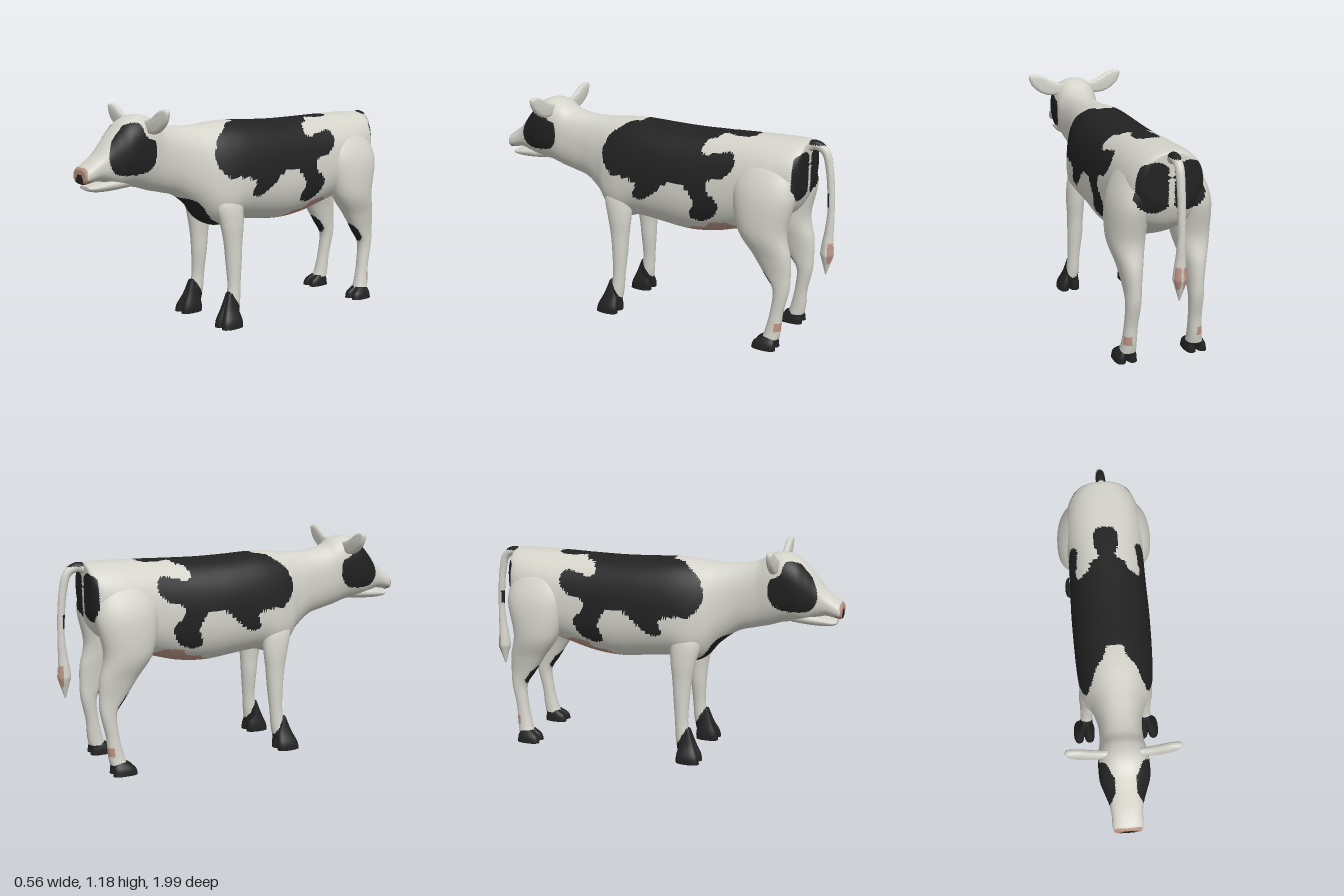
import * as THREE from 'three';
import { toCreasedNormals } from 'three/addons/utils/BufferGeometryUtils.js';

const mat = (name, color) => Object.assign(new THREE.MeshStandardMaterial({ color }), { name });
const WHITE = 0, BLACK = 1, PINK = 2;

// Catmull-Rom value between p1 and p2
const spline = (p0, p1, p2, p3, t) => 0.5 * (2 * p1 + (p2 - p0) * t
  + (2 * p0 - 5 * p1 + 4 * p2 - p3) * t * t + (3 * p1 - p0 - 3 * p2 + p3) * t * t * t);

// Skin through sections [x, y, z, sideRadius, plusRadius, minusRadius].
// The rings lie across axis 'z' (x-y rings) or 'y' (x-z rings); ends are capped.
function loft(sections, axis, { sub = 8, around = 32, n = 2 } = {}) {
  const rings = [];
  const last = sections.length - 1;
  const at = i => sections[Math.min(Math.max(i, 0), last)];
  for (let i = 0; i < last; i++) {
    for (let k = 0; k < sub; k++) {
      rings.push(at(i).map((_, d) => spline(at(i - 1)[d], at(i)[d], at(i + 1)[d], at(i + 2)[d], k / sub)));
    }
  }
  rings.push(at(last));
  const shrink = (r, f) => [r[0], r[1], r[2], r[3] * f, r[4] * f, r[5] * f];
  const first = rings[0];
  [0.85, 0.7, 0.55, 0.4, 0.25, 0.001].forEach(f => {
    rings.unshift(shrink(first, f));
    rings.push(shrink(at(last), f));
  });

  const pos = [], index = [];
  const power = v => Math.sign(v) * Math.abs(v) ** (2 / n);
  rings.forEach(([x, y, z, side, plus, minus], i) => {
    for (let j = 0; j < around; j++) {
      const a = (j / around) * Math.PI * 2;
      const u = side * power(Math.cos(a)), s = power(Math.sin(a));
      const v = s * (s > 0 ? plus : minus);
      pos.push(x + u, axis === 'z' ? y + v : y, axis === 'z' ? z : z + v);
      if (i === 0) continue;
      const j2 = (j + 1) % around, p = (i - 1) * around, q = i * around;
      index.push(p + j, p + j2, q + j, p + j2, q + j2, q + j);
    }
  });
  // Turn the faces outward whatever direction the sections run
  const along = axis === 'z' ? 2 : 1;
  const rising = sections[last][along] > sections[0][along];
  if (rising !== (axis === 'z')) {
    for (let i = 0; i < index.length; i += 3) [index[i], index[i + 1]] = [index[i + 1], index[i]];
  }
  const g = new THREE.BufferGeometry();
  g.setAttribute('position', new THREE.Float32BufferAttribute(pos, 3));
  g.setIndex(index);
  g.computeVertexNormals();
  return g;
}

// Sort the faces into material groups by a rule on each face centre
function paint(g, rule) {
  const p = g.attributes.position, idx = g.index.array, lists = [[], [], []];
  for (let i = 0; i < idx.length; i += 3) {
    const t = [idx[i], idx[i + 1], idx[i + 2]];
    const mean = c => t.reduce((s, v) => s + p.getComponent(v, c), 0) / 3;
    lists[rule(mean(0), mean(1), mean(2))].push(...t);
  }
  g.setIndex(lists.flat());
  let start = 0;
  lists.forEach((l, m) => { if (l.length) g.addGroup(start, l.length, m); start += l.length; });
  return g;
}

function inside(poly, a, b) {
  let hit = false;
  for (let i = 0, j = poly.length - 1; i < poly.length; j = i++) {
    const [ax, ay] = poly[i], [bx, by] = poly[j];
    if ((ay > b) !== (by > b) && a < (bx - ax) * (b - ay) / (by - ay) + ax) hit = !hit;
  }
  return hit;
}
const smooth = pts => new THREE.CatmullRomCurve3(pts.map(([a, b]) => new THREE.Vector3(a, b, 0)), true)
  .getPoints(pts.length * 5).map(v => [v.x, v.y]);

// Patch outlines: side ones in (z, y), the back one in (|x|, z)
const flankPatch = smooth([[0.28, 0.98], [0.24, 1.05], [0.2, 1.2], [-0.56, 1.2], [-0.57, 1.06], [-0.33, 1.045],
  [-0.35, 0.99], [-0.49, 1.0], [-0.505, 0.93], [-0.44, 0.87], [-0.365, 0.845], [-0.375, 0.79], [-0.425, 0.74],
  [-0.4, 0.66], [-0.32, 0.62], [-0.26, 0.635], [-0.285, 0.725], [-0.22, 0.81], [-0.13, 0.8], [-0.03, 0.715],
  [0.03, 0.685], [0.075, 0.7], [0.06, 0.77], [0.14, 0.795], [0.22, 0.8], [0.285, 0.87]]);
const backPatch = [[-0.1, 0.1], [0.04, 0.1], [0.06, 0.16], [0.1, 0.2], [0.13, 0.27], [0.17, 0.29], [0.4, 0.3],
  [0.4, -0.52], [0.18, -0.51], [0.145, -0.48], [0.14, -0.43], [0.17, -0.36], [0.16, -0.31], [0.13, -0.32],
  [0.1, -0.37], [0.04, -0.4], [0.06, -0.46], [0.065, -0.53], [0.04, -0.565], [-0.1, -0.57]];
const eyePatch = smooth([[0.875, 0.93], [0.84, 1.03], [0.78, 1.095], [0.71, 1.105], [0.685, 1.04], [0.635, 1.015],
  [0.632, 0.91], [0.67, 0.865], [0.76, 0.85], [0.845, 0.865]]);
const udderPatch = [[-0.08, 0.45], [-0.1, 0.533], [-0.2, 0.53], [-0.25, 0.565], [-0.33, 0.575], [-0.36, 0.61],
  [-0.45, 0.625], [-0.5, 0.605], [-0.57, 0.6], [-0.57, 0.45]];
const hockPatch = [[-0.55, 0.5], [-0.63, 0.47], [-0.7, 0.41], [-0.735, 0.36], [-0.73, 0.3], [-0.6, 0.3]];
const onRump = (x, y, z) => z < -0.812 && Math.abs(x) > 0.015
  && ((Math.abs(x) - 0.085) / 0.105) ** 2 + ((y - 0.91) / 0.125) ** 2 < 1;

function coat(x, y, z) {
  const ax = Math.abs(x);
  if (z > 0.6) {
    if (z > 0.97 && ax < 0.038 - Math.max(0, y - 0.84) * 0.8 && y < 0.865) return BLACK;
    if (z > 0.965 && (ax / 0.07) ** 3 + (Math.abs(y - 0.855) / 0.045) ** 3 < 1) return PINK;
    return ax > 0.052 && inside(eyePatch, z, y) ? BLACK : WHITE;
  }
  if (z > 0.23 && y < 0.7 && (ax / 0.097) ** 4 + ((y - 0.59) / 0.105) ** 4 < 1) return BLACK;
  if (onRump(x, y, z)) return BLACK;
  if (inside(udderPatch, z, y)) return PINK;
  return inside(flankPatch, z, y) && (y < 0.95 || inside(backPatch, ax, z)) ? BLACK : WHITE;
}

export function createModel() {
  const model = new THREE.Group();
  const mats = [mat('white hide', 0xd4d3ca), mat('black hide', 0x222222), mat('pink skin', 0xbb9484)];
  const add = (name, geometry, material = mats) => {
    const m = new THREE.Mesh(geometry, material);
    m.name = name;
    model.add(m);
  };

  // Trunk, neck and head in one skin: [z, top, bottom, half width, height share of the widest point]
  const trunk = [[-0.842, 1.06, 0.86, 0.1], [-0.835, 1.078, 0.8, 0.145], [-0.79, 1.082, 0.71, 0.185],
    [-0.7, 1.082, 0.65, 0.205], [-0.6, 1.08, 0.6, 0.21], [-0.5, 1.078, 0.57, 0.206], [-0.35, 1.074, 0.53, 0.206],
    [-0.2, 1.072, 0.516, 0.209], [-0.05, 1.076, 0.53, 0.207], [0.1, 1.083, 0.545, 0.202, 0.42],
    [0.2, 1.08, 0.522, 0.194, 0.38], [0.28, 1.072, 0.55, 0.172, 0.38], [0.35, 1.068, 0.63, 0.138, 0.42],
    [0.45, 1.07, 0.705, 0.112], [0.55, 1.09, 0.735, 0.11, 0.52], [0.62, 1.13, 0.752, 0.12, 0.58],
    [0.69, 1.142, 0.775, 0.126, 0.6], [0.76, 1.118, 0.785, 0.124, 0.58], [0.81, 1.075, 0.79, 0.107, 0.55],
    [0.86, 1.02, 0.81, 0.088], [0.91, 0.96, 0.826, 0.078], [0.96, 0.92, 0.82, 0.077], [0.985, 0.904, 0.815, 0.074],
    [0.998, 0.89, 0.82, 0.062]];
  add('body and head', paint(loft(trunk.map(([z, top, bottom, w, share = 0.48]) => {
    const mid = bottom + (top - bottom) * share;
    return [0, mid, z, w, top - mid, mid - bottom];
  }), 'z', { sub: 12, around: 96, n: 2.3 }), coat));

  // Lower jaw, slightly open
  add('lower jaw', loft([[0, 0.81, 0.74, 0.06, 0.03, 0.03], [0, 0.808, 0.82, 0.073, 0.03, 0.034],
    [0, 0.802, 0.9, 0.068, 0.02, 0.031], [0, 0.797, 0.95, 0.062, 0.013, 0.02],
    [0, 0.797, 0.972, 0.047, 0.008, 0.011]], 'z', { n: 2.2 }), mats[WHITE]);

  // Ear outline
  const ear = new THREE.SplineCurve([[0.07, 1.115], [0.13, 1.13], [0.215, 1.174], [0.278, 1.174], [0.266, 1.12],
    [0.225, 1.08], [0.165, 1.054], [0.09, 1.06], [0.07, 1.115]].map(p => new THREE.Vector2(...p)));

  const row = ([x, y, z, rx, rz]) => [x, y, z, rx, rz, rz];
  const foreLeg = [[0.12, 0.74, 0.2, 0.03, 0.08], [0.14, 0.65, 0.197, 0.05, 0.085], [0.153, 0.55, 0.187, 0.049, 0.07],
    [0.157, 0.45, 0.183, 0.044, 0.054], [0.16, 0.35, 0.182, 0.042, 0.045], [0.168, 0.22, 0.185, 0.034, 0.036],
    [0.172, 0.13, 0.195, 0.036, 0.04], [0.178, 0.06, 0.205, 0.036, 0.038]].map(row);
  const hindLeg = [[0.09, 1.03, -0.66, 0.04, 0.12], [0.122, 0.94, -0.66, 0.08, 0.15], [0.156, 0.81, -0.665, 0.097, 0.165],
    [0.168, 0.63, -0.666, 0.091, 0.13], [0.166, 0.5, -0.722, 0.06, 0.1], [0.164, 0.4, -0.757, 0.043, 0.07],
    [0.165, 0.32, -0.78, 0.038, 0.043], [0.17, 0.2, -0.764, 0.034, 0.034], [0.175, 0.1, -0.75, 0.037, 0.041],
    [0.18, 0.04, -0.735, 0.044, 0.045]].map(row);
  const foreRule = (x, y, z) => (y < 0.13 + (z - 0.19) * 1.7 ? BLACK : WHITE);
  const hindRule = (x, y, z) => {
    if (y < 0.055 || onRump(x, y, z) || inside(hockPatch, z, y)) return BLACK;
    return z < -0.765 && y > 0.1 && y < 0.145 && Math.abs(x) > 0.172 ? PINK : WHITE;
  };

  for (const s of [1, -1]) {
    const word = s > 0 ? 'left' : 'right';
    const flip = rows => rows.map(([x, ...rest]) => [x * s, ...rest]);
    const outline = new THREE.Shape(ear.getPoints(32).map(p => new THREE.Vector2(p.x * s, p.y)));
    const earGeo = new THREE.ExtrudeGeometry(outline, {
      depth: 0.006, bevelSize: 0.018, bevelOffset: -0.018, bevelThickness: 0.014, bevelSegments: 4 });
    earGeo.translate(0, 0, 0.658);
    add(`${word} ear`, toCreasedNormals(earGeo, 0.9), mats[WHITE]);

    const legs = { sub: 12, around: 48 };
    add(`${word} front leg`, paint(loft(flip(foreLeg), 'y', legs), foreRule));
    add(`${word} hind leg`, paint(loft(flip(hindLeg), 'y', { ...legs, n: 2.2 }), hindRule));

    // Cloven hooves, two toes on each foot
    for (const t of [-1, 1]) {
      add(`${word} front hoof toe`, loft(flip([[0.176 + t * 0.006, 0.18, 0.222, 0.014, 0.014],
        [0.18 + t * 0.017, 0.1, 0.225, 0.022, 0.04], [0.188 + t * 0.029, 0.04, 0.232, 0.03, 0.06],
        [0.191 + t * 0.031, 0, 0.236, 0.031, 0.064]].map(row)), 'y', { n: 2.4 }), mats[BLACK]);
      add(`${word} hind hoof toe`, loft(flip([[0.18 + t * 0.015, 0.065, -0.733, 0.023, 0.035],
        [0.186 + t * 0.026, 0.035, -0.718, 0.027, 0.058],
        [0.188 + t * 0.029, 0, -0.715, 0.029, 0.065]].map(row)), 'y', { n: 2.4 }), mats[BLACK]);
    }
  }

  // Tail: a tube whose radius swells into a tuft
  const path = new THREE.CatmullRomCurve3([[1.04, -0.81], [1.058, -0.87], [1.03, -0.92], [0.94, -0.947],
    [0.72, -0.965], [0.55, -0.957], [0.46, -0.957], [0.385, -0.955]].map(([y, z]) => new THREE.Vector3(0, y, z)));
  const radii = [0.03, 0.022, 0.02, 0.019, 0.018, 0.024, 0.036, 0.003];
  const seg = 90, sides = 20;
  const tail = new THREE.TubeGeometry(path, seg, 1, sides, false);
  const p = tail.attributes.position, v = new THREE.Vector3();
  for (let i = 0; i <= seg; i++) {
    const c = path.getPointAt(i / seg), f = (i / seg) * 7, k = Math.min(Math.floor(f), 6);
    const r = THREE.MathUtils.lerp(radii[k], radii[k + 1], f - k);
    for (let j = 0; j <= sides; j++) {
      const n = i * (sides + 1) + j;
      v.fromBufferAttribute(p, n).sub(c).multiplyScalar(r).add(c);
      p.setXYZ(n, v.x, v.y, v.z);
    }
  }
  tail.computeVertexNormals();
  add('tail', paint(tail, (x, y, z) => {
    if ((y > 1.062 && z < -0.84) || (y > 0.75 && y < 0.82 && z > -0.957)) return BLACK;
    return z < -0.965 && Math.abs(x) > 0.006 && y > 0.45 && y < 0.56 ? PINK : WHITE;
  }));
  return model;
}
